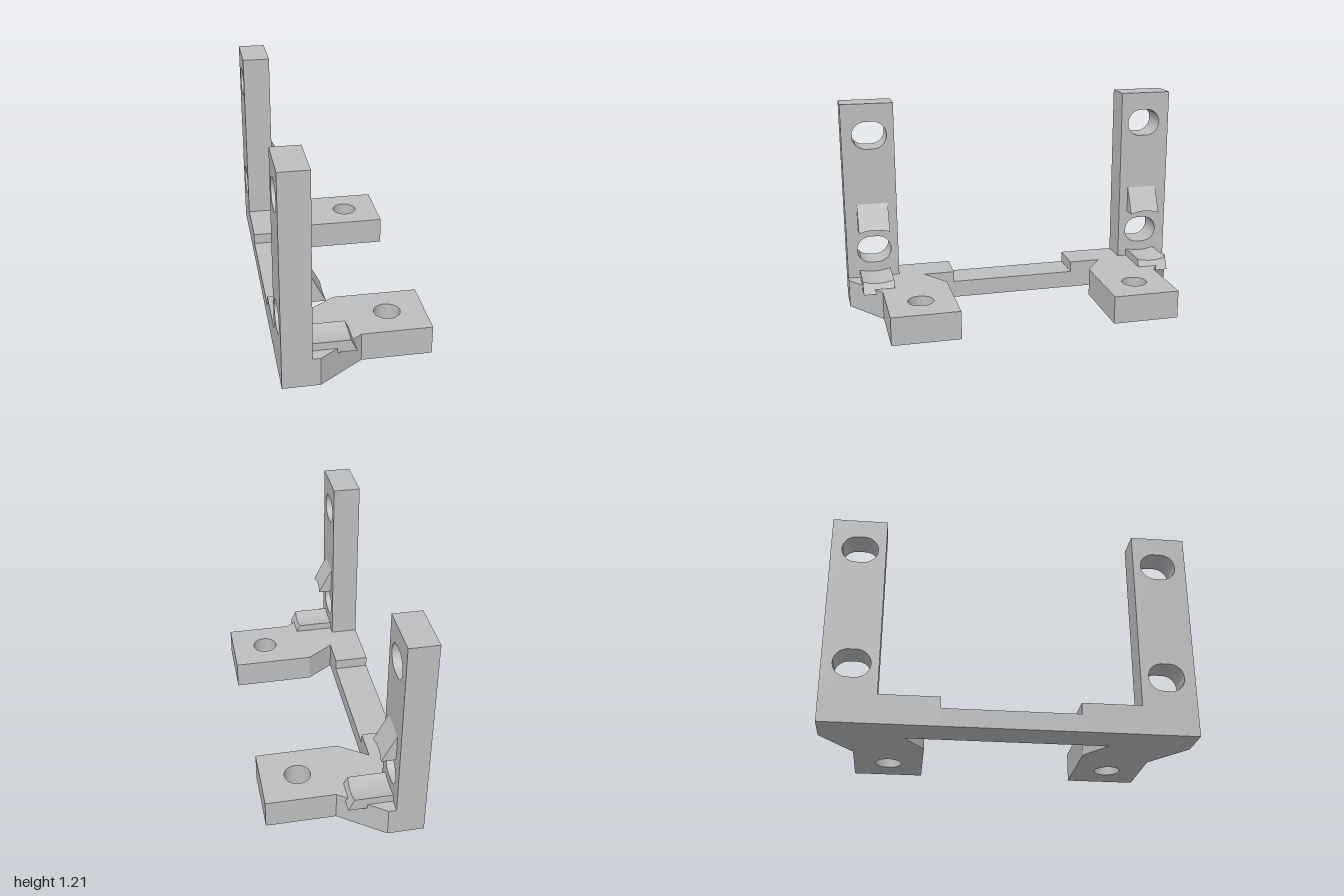
import * as THREE from 'three';
import { toCreasedNormals } from 'three/addons/utils/BufferGeometryUtils.js';

const BASE_H = 0.163, POST_BACK = -0.417, POST_FRONT = -0.257;
const CLIP_Z = 0.84, CLIP_W = 0.18;

const polygon = (points) => new THREE.Shape(points.map(([x, y]) => new THREE.Vector2(x, y)));

const extrude = (shape, depth, steps = 1) =>
  new THREE.ExtrudeGeometry(shape, { depth, steps, bevelEnabled: false, curveSegments: 20 });

// Profile swept along z; bend() shifts each vertex by how near it is to the middle
function bentBar(points, bend) {
  const geo = extrude(polygon(points), CLIP_W, 12);
  geo.translate(0, 0, -CLIP_W / 2);
  const pos = geo.attributes.position;
  for (let i = 0; i < pos.count; i++) {
    const t = pos.getZ(i) / (CLIP_W / 2);
    const [dx, dy] = bend(pos.getX(i), pos.getY(i), 1 - t * t);
    pos.setXY(i, pos.getX(i) + dx, pos.getY(i) + dy);
  }
  return geo;
}

export function createModel() {
  const grey = new THREE.MeshStandardMaterial({ color: 0xbfbfbf });
  grey.name = 'grey';
  const model = new THREE.Group();
  model.name = 'mountingBracket';

  const add = (name, geo, parent) => {
    const mesh = new THREE.Mesh(toCreasedNormals(geo, 0.5), grey);
    mesh.name = name;
    parent.add(mesh);
    return mesh;
  };

  // Low bar joining the two feet
  const bar = new THREE.BoxGeometry(0.202, 0.1, 0.74);
  bar.translate(-0.316, 0.05, 0);
  add('crossBar', bar, model);

  for (const s of [1, -1]) {
    const side = new THREE.Group();
    side.name = s > 0 ? 'frontBracket' : 'backBracket';
    model.add(side);

    // Foot plate with splayed neck and screw hole
    const foot = polygon([
      [POST_BACK, 0.37], [-0.215, 0.37], [-0.215, 0.55], [-0.055, 0.44], [0.417, 0.44],
      [0.417, 0.825], [0.03, 0.825], [-0.215, 1], [POST_BACK, 1],
    ].map(([x, z]) => [x, -s * z]));
    const screwHole = new THREE.Path();
    screwHole.absarc(0.21, -s * 0.632, 0.073, 0, Math.PI * 2);
    foot.holes.push(screwHole);
    add('foot', extrude(foot, BASE_H).rotateX(-Math.PI / 2), side);

    // Upright post with two slotted holes
    const post = polygon([
      [0.697, BASE_H], [1, BASE_H], [1, 1.205], [0.697, 1.205],
    ].map(([z, y]) => [-s * z, y]));
    for (const y of [0.332, 1.02]) {
      const slot = new THREE.Path();
      slot.absarc(-s * CLIP_Z + 0.02, y, 0.08, -Math.PI / 2, Math.PI / 2);
      slot.absarc(-s * CLIP_Z - 0.02, y, 0.08, Math.PI / 2, Math.PI * 1.5);
      post.holes.push(slot);
    }
    const postGeo = extrude(post, POST_FRONT - POST_BACK).rotateY(Math.PI / 2);
    add('post', postGeo.translate(POST_BACK, 0, 0), side);

    // Wedge catch with a hollowed underside
    const wedge = bentBar(
      [[POST_FRONT, 0.457], [-0.177, 0.457], [POST_FRONT, 0.612]],
      (x, y, k) => (y < 0.5 ? [x > -0.2 ? -0.007 * k : 0, 0.014 * k] : [0, 0]),
    );
    add('wedgeCatch', wedge, side).position.z = s * CLIP_Z;

    // Lower tongue with a dished top and a hooked lip
    const tongue = bentBar(
      [[POST_FRONT, BASE_H], [-0.118, BASE_H], [-0.118, 0.138], [-0.012, 0.138],
        [-0.047, 0.207], [POST_FRONT, 0.207]],
      (x, y, k) => (y > 0.2 ? [x > -0.1 ? 0.006 * k : 0, -0.013 * k] : [0, 0]),
    );
    add('tongue', tongue, side).position.z = s * CLIP_Z;
  }
  return model;
}
